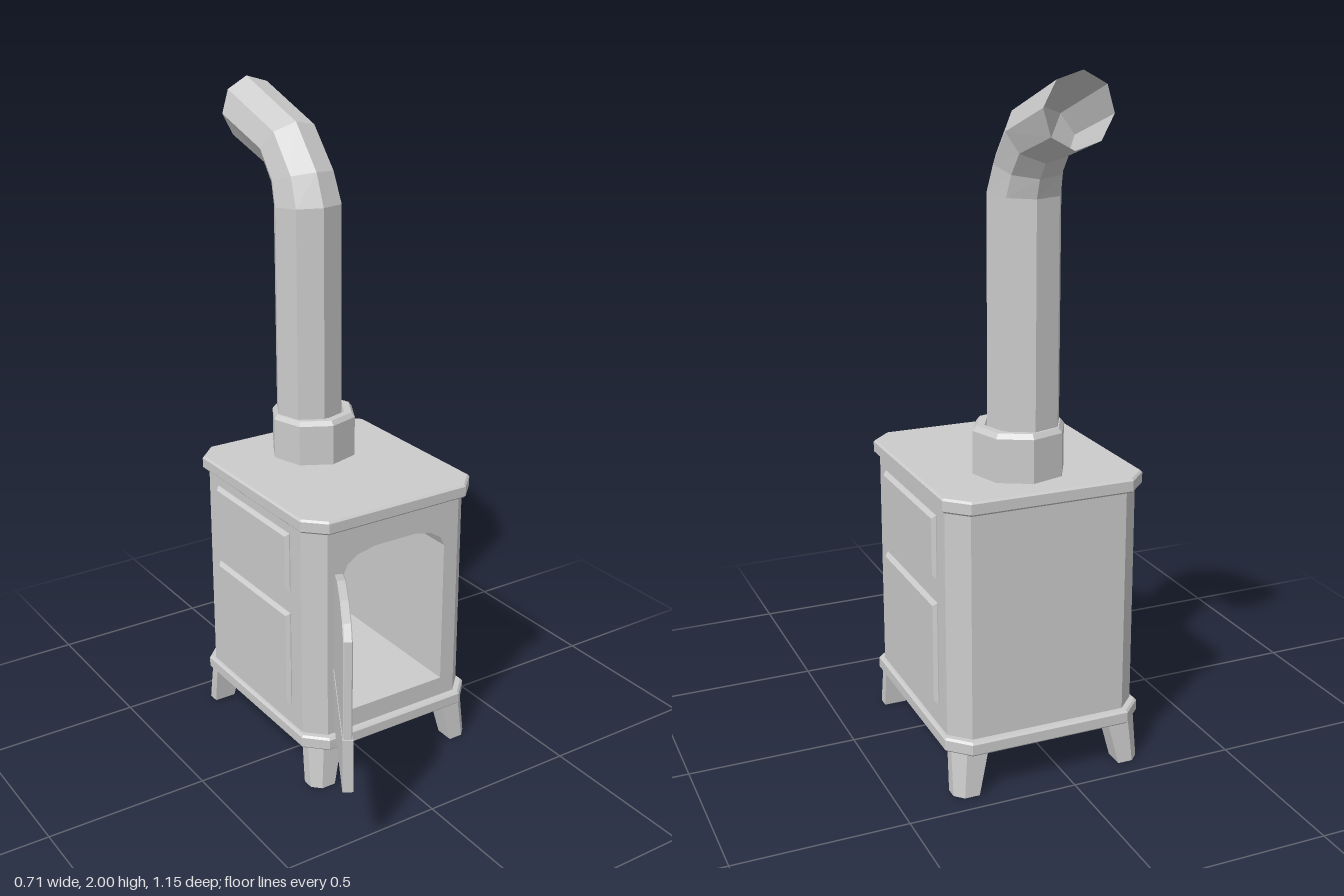
import * as THREE from 'three';
import { ConvexGeometry } from 'three/addons/geometries/ConvexGeometry.js';

const CX = 0.05, CZ = -0.104; // centre of the stove body
const PHASE = 0.1; // turn of the eight-sided flue
const iron = new THREE.MeshStandardMaterial({ color: 0xcccccc, flatShading: true, side: THREE.DoubleSide });
const glass = new THREE.MeshStandardMaterial({ color: 0xc01010 });

function add(parent, name, geometry, material = iron) {
  const mesh = new THREE.Mesh(geometry, material);
  mesh.name = name;
  parent.add(mesh);
  return mesh;
}

const shapeOf = (pts) => new THREE.Shape(pts.map(([x, y]) => new THREE.Vector2(x, y)));

// Extrude centred on z = 0
function slab(shape, depth, bevel = 0) {
  const g = new THREE.ExtrudeGeometry(shape, {
    depth: depth - 2 * bevel, bevelEnabled: bevel > 0, bevelSize: bevel,
    bevelThickness: bevel, bevelOffset: -bevel, bevelSegments: 1, curveSegments: 5,
  });
  return g.translate(0, 0, -depth / 2 + bevel);
}

// Extrude a plan outline (x, -z) upward between two heights
function upright(shape, y0, y1, bevel = 0) {
  return slab(shape, y1 - y0, bevel).rotateX(-Math.PI / 2).translate(0, (y0 + y1) / 2, 0);
}

function chamferedPlan(hx, hz, c) {
  const z = -CZ;
  return shapeOf([
    [CX - hx + c, z - hz], [CX + hx - c, z - hz], [CX + hx, z - hz + c], [CX + hx, z + hz - c],
    [CX + hx - c, z + hz], [CX - hx + c, z + hz], [CX - hx, z + hz - c], [CX - hx, z - hz + c],
  ]);
}

function bar(parent, name, x0, y0, x1, y1, width, depth) {
  const m = add(parent, name, new THREE.BoxGeometry(Math.hypot(x1 - x0, y1 - y0), width, depth));
  m.position.set((x0 + x1) / 2, (y0 + y1) / 2, 0);
  m.rotation.z = Math.atan2(y1 - y0, x1 - x0);
}

function buildBody(root) {
  const hx = 0.29, hz = 0.323, c = 0.055, zc = -CZ;
  const x0 = -0.13, x1 = 0.235, front = zc - hz, back = 0.39;

  // Walls as a C-shaped plan, open at the front
  add(root, 'bodyWalls', upright(shapeOf([
    [x0, front], [x0, back], [x1, back], [x1, front], [CX + hx - c, front], [CX + hx, front + c],
    [CX + hx, zc + hz - c], [CX + hx - c, zc + hz], [CX - hx + c, zc + hz],
    [CX - hx, zc + hz - c], [CX - hx, front + c], [CX - hx + c, front],
  ]), 0.165, 0.845));

  // Firebox floor and arched ceiling
  const depth = back - front, mid = -(back + front) / 2;
  const floor = add(root, 'fireboxFloor', new THREE.BoxGeometry(x1 - x0, 0.065, depth));
  floor.position.set((x0 + x1) / 2, 0.1975, mid);
  const arch = shapeOf([
    [x0, 0.845], [x0, 0.69], [x0 + 0.015, 0.72], [x0 + 0.05, 0.743], [x0 + 0.11, 0.756],
    [x1 - 0.11, 0.756], [x1 - 0.05, 0.743], [x1 - 0.015, 0.72], [x1, 0.69], [x1, 0.845],
  ]);
  add(root, 'fireboxArch', slab(arch, depth)).position.z = mid;

  // Top and base plates
  add(root, 'topPlate', upright(chamferedPlan(0.303, 0.346, 0.06), 0.84, 0.882, 0.006));
  add(root, 'basePlate', upright(chamferedPlan(0.303, 0.346, 0.06), 0.128, 0.17, 0.006));

  // Raised panels on both sides
  for (const s of [-1, 1]) {
    for (const [y0, y1] of [[0.62, 0.806], [0.237, 0.547]]) {
      const w = 0.21, h = (y1 - y0) / 2;
      const panel = add(root, 'sidePanel', slab(shapeOf([[-w, -h], [w, -h], [w, h], [-w, h]]), 0.03, 0.01));
      panel.rotation.y = Math.PI / 2;
      panel.position.set(CX + s * (hx - 0.002), (y0 + y1) / 2, -0.104);
    }
  }

  // Tapered legs with a chamfered outer corner
  for (const sx of [-1, 1]) {
    for (const sz of [-1, 1]) {
      const ring = (y, ox, oz, w, d, k) => [
        [ox - w, oz - d], [ox, oz - d], [ox, oz - k], [ox - k, oz], [ox - w, oz],
      ].map(([x, z]) => new THREE.Vector3(CX + sx * x, y, CZ + sz * z));
      add(root, 'leg', new ConvexGeometry([
        ...ring(0.135, 0.288, 0.328, 0.1, 0.065, 0.035), ...ring(0, 0.29, 0.338, 0.07, 0.06, 0.025),
      ]));
    }
  }
}

function buildFlue(root) {
  // Collar on the top plate
  const profile = [[0.135, 0.875], [0.135, 1.008], [0.124, 1.022], [0.1, 1.022]];
  const collar = add(root, 'flueCollar', new THREE.LatheGeometry(
    profile.map(([r, y]) => new THREE.Vector2(r, y)), 8, Math.PI / 2 - PHASE));
  collar.position.set(0.065, 0, -0.244);

  // Pipe rings: y, z, radius, tilt
  const rings = [
    [0.95, -0.25, 0.106, 0], [1.667, -0.25, 0.106, 0.07], [1.743, -0.278, 0.099, 0.3],
    [1.83, -0.35, 0.092, 0.91], [1.905, -0.577, 0.098, Math.PI / 2],
  ];
  const pos = [], index = [], n = 8;
  rings.forEach(([y, z, r, t], j) => {
    for (let i = 0; i < n; i++) {
      const a = PHASE + (i / n) * Math.PI * 2, v = r * Math.sin(a);
      pos.push(0.053 + Math.max(r, 0.097) * Math.cos(a), y + v * Math.sin(t), z + v * Math.cos(t));
      if (j === 0) continue;
      const a0 = (j - 1) * n + i, b0 = (j - 1) * n + (i + 1) % n;
      index.push(a0, a0 + n, b0, b0, a0 + n, b0 + n);
    }
  });
  const g = new THREE.BufferGeometry();
  g.setAttribute('position', new THREE.Float32BufferAttribute(pos, 3));
  g.setIndex(index);
  g.computeVertexNormals();
  add(root, 'fluePipe', g);
}

// Arched outline of the door window, inset by d
function windowOutline(d) {
  const w = 0.186 - d;
  return [[-w, 0.39], [w, 0.39], [w, 0.7 - d * 0.6], [0.145 - d * 0.6, 0.733 - d], [0.06, 0.757 - d],
    [-0.06, 0.757 - d], [-0.145 + d * 0.6, 0.733 - d], [-w, 0.7 - d * 0.6]];
}

function innerArch(r) {
  const pts = [[-r, 0.39], [r, 0.39]];
  for (let i = 0; i <= 8; i++) {
    const a = (i / 8) * Math.PI;
    pts.push([r * Math.cos(a), 0.585 + r * Math.sin(a)]);
  }
  return pts;
}

function buildDoor(root) {
  const hinge = new THREE.Group();
  hinge.name = 'door';
  hinge.position.set(-0.16, 0, 0.238);
  hinge.rotation.y = -2.086;
  root.add(hinge);
  const door = new THREE.Group();
  door.name = 'doorLeaf';
  door.position.x = 0.191;
  hinge.add(door);

  add(door, 'doorLowerPanel', new THREE.BoxGeometry(0.382, 0.165, 0.03)).position.y = 0.317;
  add(door, 'doorGlass', slab(shapeOf(windowOutline(0.005)), 0.008), glass);

  // Arched frames with an opening
  const frame = (name, outer, inner, depth) => {
    const s = shapeOf(outer);
    s.holes.push(shapeOf(inner));
    add(door, name, slab(s, depth, 0.003));
  };
  frame('doorFrame', windowOutline(0), windowOutline(0.012).map(([x, y]) => [x, Math.max(y, 0.395)]), 0.026);
  frame('windowArch', innerArch(0.11), innerArch(0.092).map(([x, y]) => [x, Math.max(y, 0.395)]), 0.026);

  // Glazing bars
  for (const s of [-1, 1]) {
    for (const y of [0.434, 0.535]) bar(door, 'glazingBar', s * 0.1, y, s * 0.18, y, 0.012, 0.02);
    bar(door, 'glazingBar', s * 0.07, 0.658, s * 0.147, 0.725, 0.014, 0.02);
  }

  // Hinge knuckles
  for (const y of [0.435, 0.612]) {
    add(root, 'doorHinge', new THREE.CylinderGeometry(0.011, 0.011, 0.024, 8)).position.set(-0.15, y, 0.228);
  }
}

export function createModel() {
  const root = new THREE.Group();
  root.name = 'woodStove';
  buildBody(root);
  buildFlue(root);
  buildDoor(root);
  return root;
}
